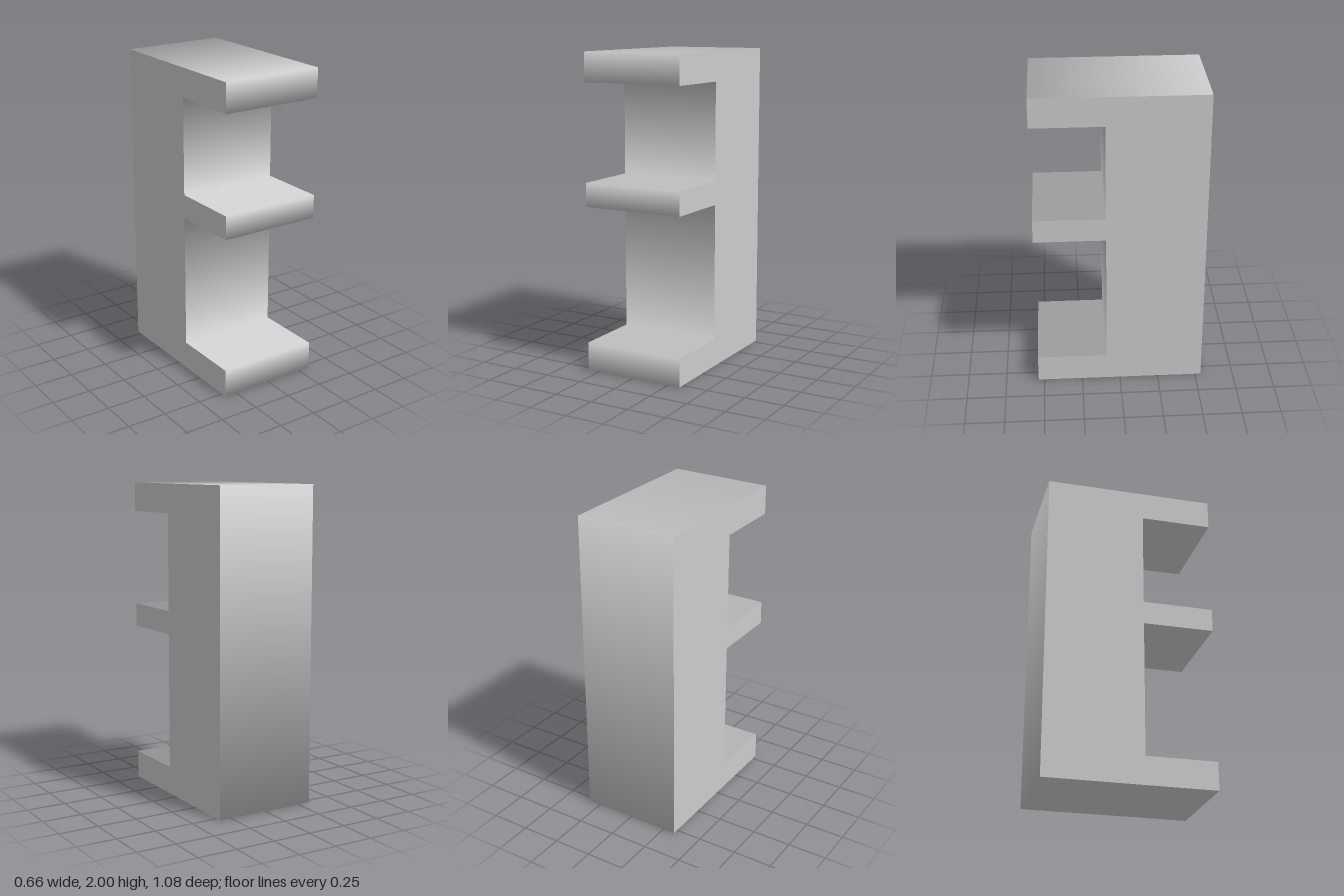
import * as THREE from 'three';

const HALF_WIDTH = 0.33;
const BACK = -0.538, FRONT = 0.538, WALL = 0.087;

// Side outline as [z, y], anticlockwise: a back wall with three shelves
const shelves = [[0, 0.18], [1.05, 1.2], [1.815, 2]];
const outline = [[BACK, 0]];
shelves.forEach(([bottom, top], i) => {
  if (i > 0) outline.push([WALL, bottom]);
  outline.push([FRONT, bottom], [FRONT, top]);
  if (i < shelves.length - 1) outline.push([WALL, top]);
});
outline.push([BACK, 2]);

// Band running round the outline, its normals averaged at each corner
function bandGeometry() {
  const n = outline.length, positions = [], normals = [], index = [];
  const edgeNormal = (i) => {
    const [z0, y0] = outline[i % n], [z1, y1] = outline[(i + 1) % n];
    return new THREE.Vector3(0, z0 - z1, y1 - y0).normalize();
  };
  outline.forEach(([z, y], i) => {
    const normal = edgeNormal(i + n - 1).add(edgeNormal(i)).normalize();
    for (const x of [-HALF_WIDTH, HALF_WIDTH]) {
      positions.push(x, y, z);
      normals.push(...normal.toArray());
    }
    const a = 2 * i, b = a + 1, c = 2 * ((i + 1) % n), d = c + 1;
    index.push(a, b, c, b, d, c);
  });
  const geometry = new THREE.BufferGeometry();
  geometry.setAttribute('position', new THREE.Float32BufferAttribute(positions, 3));
  geometry.setAttribute('normal', new THREE.Float32BufferAttribute(normals, 3));
  geometry.setIndex(index);
  return geometry;
}

// Flat side panel facing +x or -x
function sideGeometry(side) {
  const shape = new THREE.Shape(outline.map(([z, y]) => new THREE.Vector2(-side * z, y)));
  return new THREE.ShapeGeometry(shape)
    .rotateY(side * Math.PI / 2)
    .translate(side * HALF_WIDTH, 0, 0);
}

export function createModel() {
  const grey = new THREE.MeshStandardMaterial({ color: 0xcccccc });
  grey.name = 'light grey';

  const model = new THREE.Group();
  model.name = 'shelfBracket';
  const add = (name, geometry) => {
    const mesh = new THREE.Mesh(geometry, grey);
    mesh.name = name;
    model.add(mesh);
  };
  add('wallAndShelves', bandGeometry());
  add('leftSide', sideGeometry(1));
  add('rightSide', sideGeometry(-1));
  return model;
}
